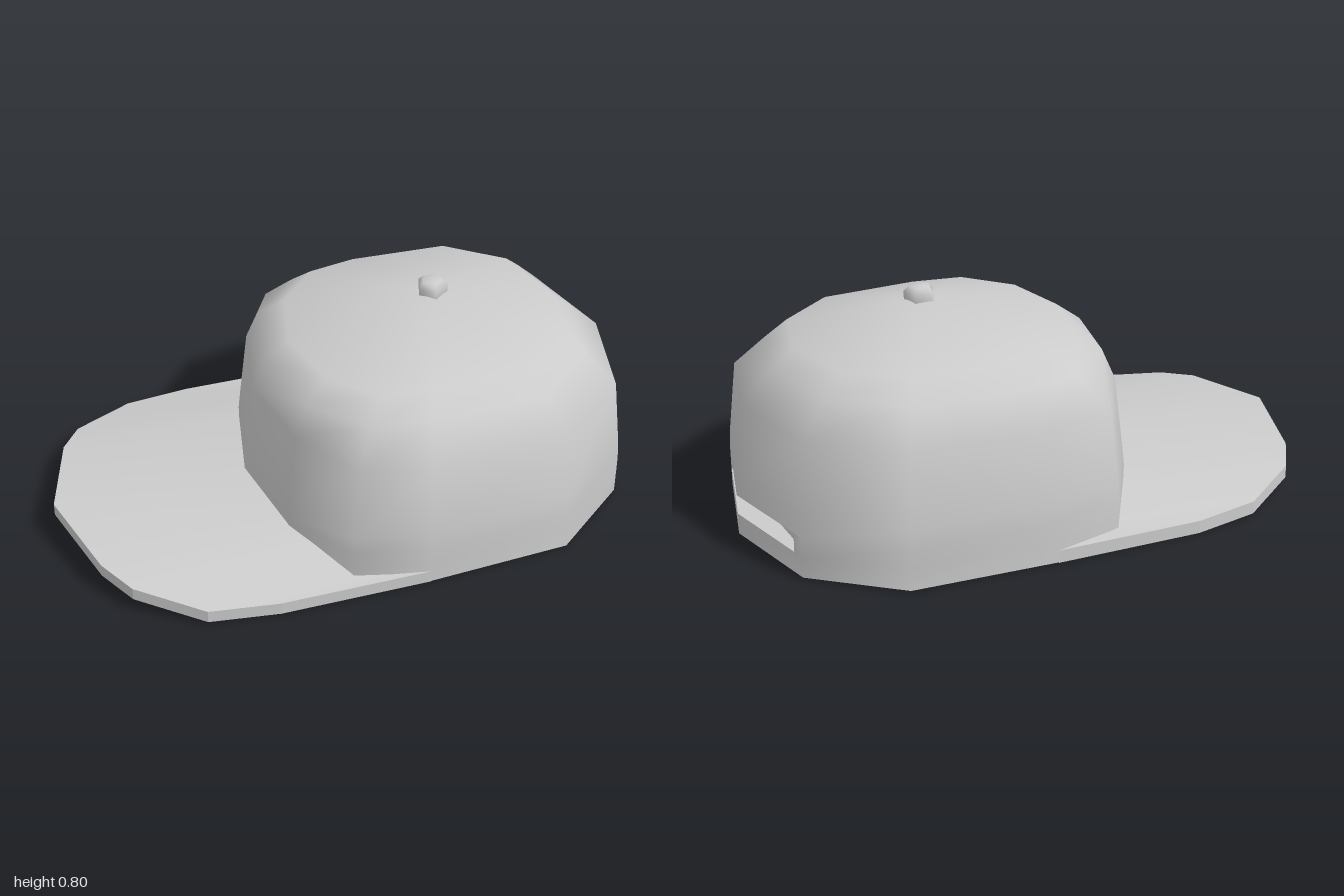
import * as THREE from 'three';

const CX = 0.32, CZ = -0.11;            // crown axis
const FX = -0.94, FZ = 0.34;            // direction the brim points
const BRIM = 0.044;                     // brim thickness
const mat = new THREE.MeshStandardMaterial({ color: 0xcccccc, side: THREE.DoubleSide });

// Crown outline, seen from above
const outline = [
  [0.395, -0.79], [0.74, -0.67], [0.96, -0.34], [1, 0.05], [0.805, 0.36], [0.33, 0.556],
  [0.07, 0.593], [-0.16, 0.4], [-0.33, 0.12], [-0.375, -0.22], [-0.315, -0.51], [-0.1, -0.64],
];
const N = outline.length;

// Rows of the crown: height, scale at the back, scale at the front
const rows = [
  [0.01, 1, 1], [0.085, 1, 1], [0.155, 1, 1], [0.22, 0.995, 0.99],
  [0.48, 0.95, 0.945], [0.585, 0.785, 0.88], [0.653, 0.67, 0.745],
];

// Slot around the outline corner 2, its two ends and its row
const SLOT_ROW = 1, SLOT_CORNER = 2;
const SLOT_A = [0.766, -0.63], SLOT_B = [0.997, 0.02];

// Height of the arched brim at a point, falling off to both sides
function brimTop(x, z) {
  const s = (x - CX) * FZ - (z - CZ) * FX;
  return 0.14 - 0.083 * (s / 0.62) ** 2;
}

function forward(x, z) {
  const dx = x - CX, dz = z - CZ;
  return (dx * FX + dz * FZ) / Math.hypot(dx, dz);
}

// Point moved towards the crown axis
const toAxis = ([x, z], k) => [CX + (x - CX) * k, CZ + (z - CZ) * k];

// The lower edge of the crown rises at the front to follow the brim
function lowerEdge([x, z]) {
  return forward(x, z) > 0.01 ? Math.max(0.005, brimTop(x, z) - BRIM) : 0.01;
}

function crownPoint(i, r) {
  const p = outline[i % N];
  const [h, back, front] = rows[r];
  const f = THREE.MathUtils.smoothstep(forward(...p), 0.55, 0.9);
  const [x, z] = toAxis(p, back + (front - back) * f);
  const low = lowerEdge(p);
  return [x, r === 0 ? low : Math.max(h, low + 0.02 * r), z];
}

function rimPoint(i) {
  const p = outline[i % N], [x, z] = toAxis(p, 0.94);
  return [x, lowerEdge(p), z];
}

function build(name, points, index, flat = false) {
  let g = new THREE.BufferGeometry();
  g.setAttribute('position', new THREE.Float32BufferAttribute(points.flat(), 3));
  g.setIndex(index);
  if (flat) g = g.toNonIndexed();
  g.computeVertexNormals();
  const m = new THREE.Mesh(g, mat);
  m.name = name;
  return m;
}

// Flat-shaded quads, each given as four corners in order
function buildQuads(name, quads) {
  const index = quads.flatMap((_, q) => [0, 1, 2, 0, 2, 3].map((k) => q * 4 + k));
  return build(name, quads.flat(), index, true);
}

// Smooth outer skin, closed by an apex and open at the slot
function crownOuter() {
  const pts = [], idx = [];
  const quad = (a, b, aUp, bUp) => idx.push(a, aUp, b, b, aUp, bUp);
  rows.forEach((_, r) => { for (let i = 0; i < N; i++) pts.push(crownPoint(i, r)); });
  const apex = pts.push([CX, 0.767, CZ]) - 1;
  for (let r = 0; r < rows.length; r++) {
    for (let i = 0; i < N; i++) {
      const j = (i + 1) % N, a = r * N + i, b = r * N + j;
      if (r === rows.length - 1) idx.push(a, apex, b);
      else if (r !== SLOT_ROW || (i !== SLOT_CORNER - 1 && i !== SLOT_CORNER)) {
        quad(a, b, a + N, b + N);
      }
    }
  }
  // short pieces of wall beyond both ends of the slot
  const lo = rows[SLOT_ROW][0], hi = rows[SLOT_ROW + 1][0];
  const e = pts.length, c = SLOT_ROW * N + SLOT_CORNER;
  for (const [x, z] of [SLOT_A, SLOT_B]) pts.push([x, lo, z], [x, hi, z]);
  quad(c - 1, e, c - 1 + N, e + 1);
  quad(e + 2, c + 1, e + 3, c + 1 + N);
  return build('crownOuter', pts, idx);
}

// Hollow inside, tapering from the rim to the apex
function crownLining() {
  const pts = outline.map((_, i) => rimPoint(i)), idx = [];
  pts.push([CX, 0.73, CZ]);
  for (let i = 0; i < N; i++) idx.push(i, (i + 1) % N, N);
  return build('crownLining', pts, idx);
}

// Underside of the crown wall
function crownRim() {
  return buildQuads('crownRim', outline.map((_, i) =>
    [crownPoint(i, 0), crownPoint(i + 1, 0), rimPoint(i + 1), rimPoint(i)]));
}

// Recess with a straight back that cuts across the corner
function slotRecess() {
  const lo = rows[SLOT_ROW][0], hi = rows[SLOT_ROW + 1][0];
  const at = ([x, z], y) => [x, y, z];
  const corner = outline[SLOT_CORNER], depth = 0.03;
  const a = [SLOT_A[0] + FX * depth, SLOT_A[1] + FZ * depth];
  const mid = [(a[0] + SLOT_B[0]) / 2, (a[1] + SLOT_B[1]) / 2];
  const quads = [
    [at(a, lo), at(a, hi), at(SLOT_B, hi), at(SLOT_B, lo)],
    [at(SLOT_A, lo), at(SLOT_A, hi), at(a, hi), at(a, lo)],
  ];
  // floor and ceiling
  for (const y of [lo, hi]) {
    for (const q of [[SLOT_A, a, mid, corner], [corner, mid, SLOT_B, SLOT_B]]) {
      const c = q.map((p) => at(p, y));
      quads.push(y === lo ? c : c.reverse());
    }
  }
  return buildQuads('slotRecess', quads);
}

// Arched brim between the crown front and its own outer edge
function brim() {
  const group = new THREE.Group();
  group.name = 'brim';
  const outer = [
    [0.33, 0.556], [-0.17, 0.73], [-0.41, 0.785], [-0.665, 0.717], [-0.78, 0.626], [-0.98, 0.34],
    [-1, -0.016], [-0.97, -0.155], [-0.81, -0.36], [-0.6, -0.47], [-0.1, -0.64],
  ];
  const inner = [
    [0.33, 0.556], [0.2, 0.573], [0.07, 0.59], [-0.05, 0.49], [-0.16, 0.4], [-0.33, 0.12],
    [-0.375, -0.22], [-0.35, -0.37], [-0.32, -0.51], [-0.21, -0.575], [-0.1, -0.64],
  ];
  const n = outer.length, under = BRIM + 0.002;
  const at = ([x, z], drop, k = 1) => {
    const [px, pz] = toAxis([x, z], k);
    return [px, Math.max(0, brimTop(x, z) - drop), pz];
  };
  for (const [name, drop] of [['brimTop', 0], ['brimUnderside', under]]) {
    const pts = [...outer.map((p) => at(p, drop)), ...inner.map((p) => at(p, drop, 0.945))];
    const idx = [];
    for (let i = 0; i < n - 1; i++) {
      const q = [i, i + 1, n + i, i + 1, n + i + 1, n + i];
      idx.push(...(drop ? q.reverse() : q));
    }
    group.add(build(name, pts, idx));
  }
  const edge = [];
  for (let i = 0; i < n - 1; i++) {
    const p = outer[i], q = outer[i + 1];
    edge.push([at(p, under), at(p, 0), at(q, 0), at(q, under)]);
  }
  group.add(buildQuads('brimEdge', edge));
  return group;
}

// Small rounded five-sided button on the apex
function button() {
  const profile = [[0.054, 0.75], [0.056, 0.782], [0.037, 0.802], [0, 0.803]];
  const g = new THREE.LatheGeometry(profile.map(([x, y]) => new THREE.Vector2(x, y)), 5);
  const m = new THREE.Mesh(g, mat);
  m.name = 'button';
  m.position.set(CX, 0, CZ);
  m.rotation.y = Math.PI / 2;
  return m;
}

export function createModel() {
  const cap = new THREE.Group();
  cap.name = 'cap';
  const crown = new THREE.Group();
  crown.name = 'crown';
  crown.add(crownOuter(), crownLining(), crownRim(), slotRecess());
  cap.add(crown, brim(), button());
  return cap;
}
